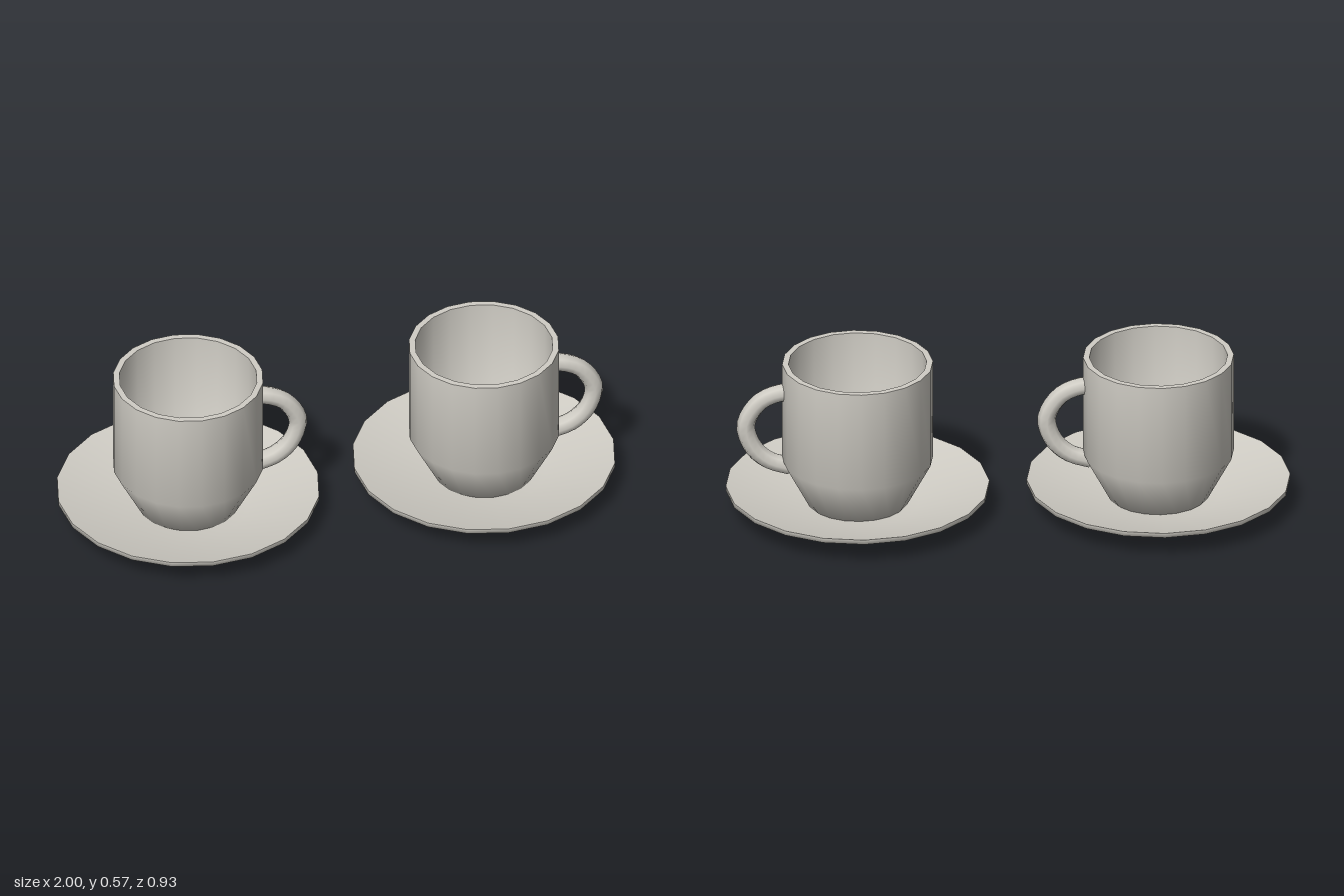
import * as THREE from 'three';
import { toCreasedNormals } from 'three/addons/utils/BufferGeometryUtils.js';

const SIDES = 20;
const SPACING = 0.533; // distance of each set from the middle

// Closed profile spun round the y axis, soft on shallow bends and sharp at the lip
function turned(profile) {
  const points = profile.map(([r, y]) => new THREE.Vector2(r, y));
  return toCreasedNormals(new THREE.LatheGeometry(points, SIDES), THREE.MathUtils.degToRad(80));
}

export function createModel() {
  const porcelain = new THREE.MeshStandardMaterial({ color: 0xd0cdc5 });
  porcelain.name = 'porcelain';

  // Shallow dish: underside, rim, then the sloping top
  const saucerGeometry = turned([
    [0, 0], [0.233, 0], [0.467, 0.083], [0.467, 0.1], [0.22, 0.034], [0, 0.034],
  ]);

  // Tapered foot, straight wall, lip, then the hollow inside
  const cupGeometry = turned([
    [0, 0.036], [0.18, 0.036], [0.267, 0.2], [0.267, 0.573],
    [0.245, 0.573], [0.245, 0.205], [0.168, 0.062], [0, 0.062],
  ]);

  // Round loop whose ends sink into the cup wall
  const loop = new THREE.CatmullRomCurve3([
    [0.248, 0.465], [0.29, 0.458], [0.35, 0.425], [0.396, 0.34],
    [0.37, 0.252], [0.315, 0.2], [0.24, 0.175],
  ].map(([x, y]) => new THREE.Vector3(x, y, 0)));
  const handleGeometry = new THREE.TubeGeometry(loop, 18, 0.033, 8, false);

  const model = new THREE.Group();
  model.name = 'cupsAndSaucers';
  for (const side of [-1, 1]) {
    const set = new THREE.Group();
    set.name = side < 0 ? 'rightCupSet' : 'leftCupSet';
    const parts = { saucer: saucerGeometry, cup: cupGeometry, handle: handleGeometry };
    for (const [name, geometry] of Object.entries(parts)) {
      const mesh = new THREE.Mesh(geometry, porcelain);
      mesh.name = name;
      set.add(mesh);
    }
    set.position.x = side * SPACING;
    model.add(set);
  }
  return model;
}
